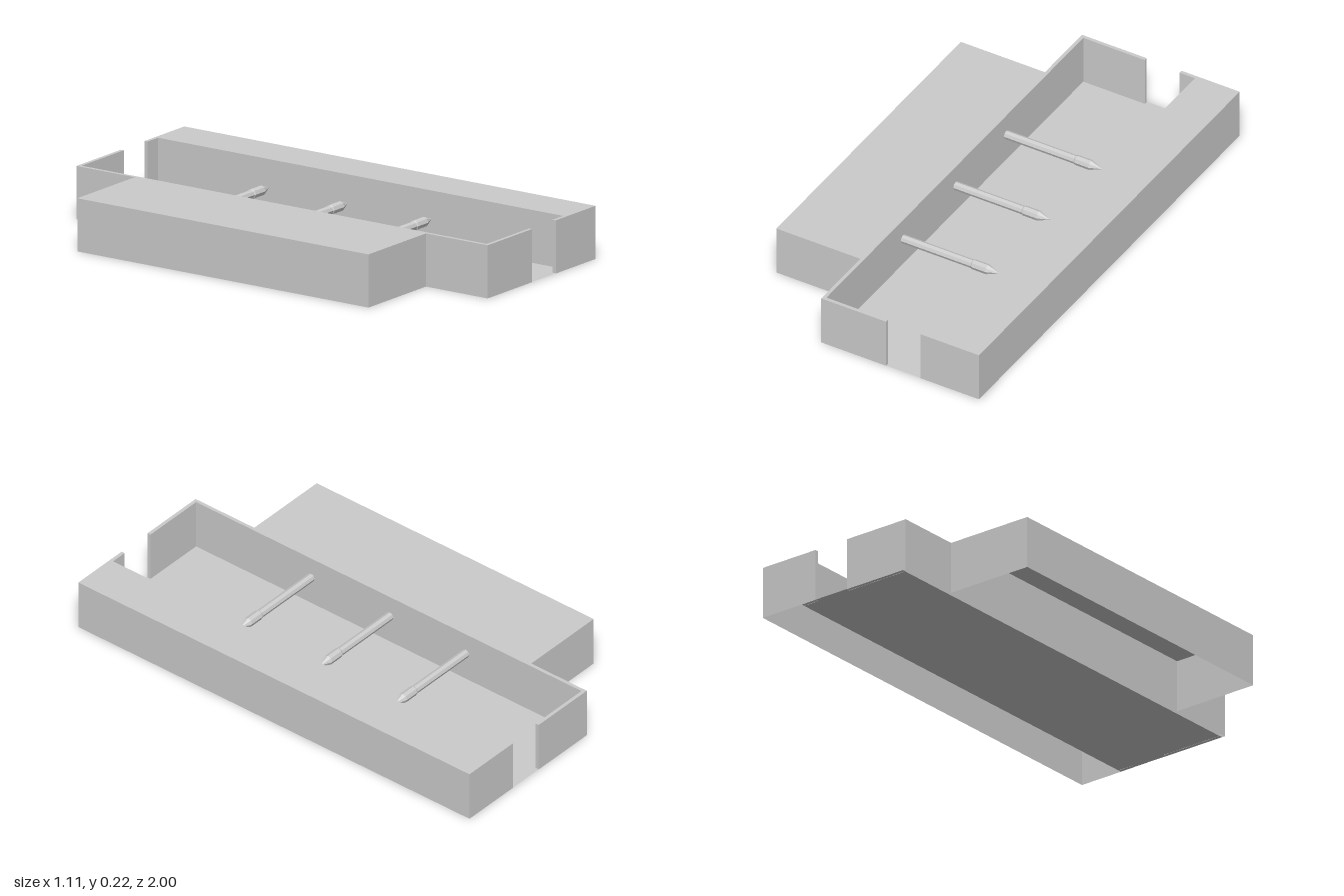
import * as THREE from 'three';

const HEIGHT = 0.217;
const material = new THREE.MeshStandardMaterial({ color: 0xcccccc, flatShading: true, side: THREE.DoubleSide });

// Upright prism over an [x, z] outline, hollow and open underneath
function openPrism(name, outline) {
  const shape = new THREE.Shape(outline.map(([x, z]) => new THREE.Vector2(x, -z)));
  const solid = new THREE.ExtrudeGeometry(shape, { depth: HEIGHT, bevelEnabled: false });
  solid.rotateX(-Math.PI / 2);
  const p = solid.attributes.position;
  const kept = [];
  for (let i = 0; i < p.count; i += 3) {
    const top = Math.max(p.getY(i), p.getY(i + 1), p.getY(i + 2));
    if (top < 1e-4) continue; // leave out the underside
    for (let j = i; j < i + 3; j++) kept.push(p.getX(j), p.getY(j), p.getZ(j));
  }
  const geometry = new THREE.BufferGeometry();
  geometry.setAttribute('position', new THREE.Float32BufferAttribute(kept, 3));
  geometry.computeVertexNormals();
  const mesh = new THREE.Mesh(geometry, material);
  mesh.name = name;
  return mesh;
}

// Rail with a thin flange turned inward at both ends
function flangedRail(name, outer, inner, flangeEnd) {
  const lip = 0.985;
  return openPrism(name, [
    [outer, -1], [flangeEnd, -1], [flangeEnd, -lip], [inner, -lip],
    [inner, lip], [flangeEnd, lip], [flangeEnd, 1], [outer, 1],
  ]);
}

// Faceted rod with a thicker pointed head, lying along +x
function spike(z, length) {
  const profile = [
    [0, 0], [0.018, 0], [0.018, length - 0.122], [0.021, length - 0.117],
    [0.021, length - 0.052], [0, length],
  ].map(([r, y]) => new THREE.Vector2(r, y));
  const geometry = new THREE.LatheGeometry(profile, 8);
  geometry.rotateZ(-Math.PI / 2);
  const mesh = new THREE.Mesh(geometry, material);
  mesh.name = 'spike';
  mesh.position.set(-0.155, 0.125, z);
  return mesh;
}

export function createModel() {
  const model = new THREE.Group();
  model.name = 'spikedChannel';

  // Two rails facing each other across the channel
  model.add(flangedRail('wideRail', 0.553, 0.357, 0.286));
  model.add(flangedRail('thinRail', -0.17, -0.155, 0.127));

  // Housing behind the thin rail
  model.add(openPrism('rearHousing', [[-0.555, -0.716], [-0.17, -0.716], [-0.17, 0.7], [-0.555, 0.7]]));

  // Channel floor
  const floorGeometry = new THREE.PlaneGeometry(0.512, 2).rotateX(-Math.PI / 2);
  const floor = new THREE.Mesh(floorGeometry, material);
  floor.name = 'channelFloor';
  floor.position.set(0.101, 0.001, 0);
  model.add(floor);

  // Row of spikes; the middle one is slightly shorter
  const spikes = new THREE.Group();
  spikes.name = 'spikes';
  for (const [z, length] of [[-0.394, 0.441], [-0.006, 0.434], [0.397, 0.441]]) spikes.add(spike(z, length));
  model.add(spikes);

  return model;
}
